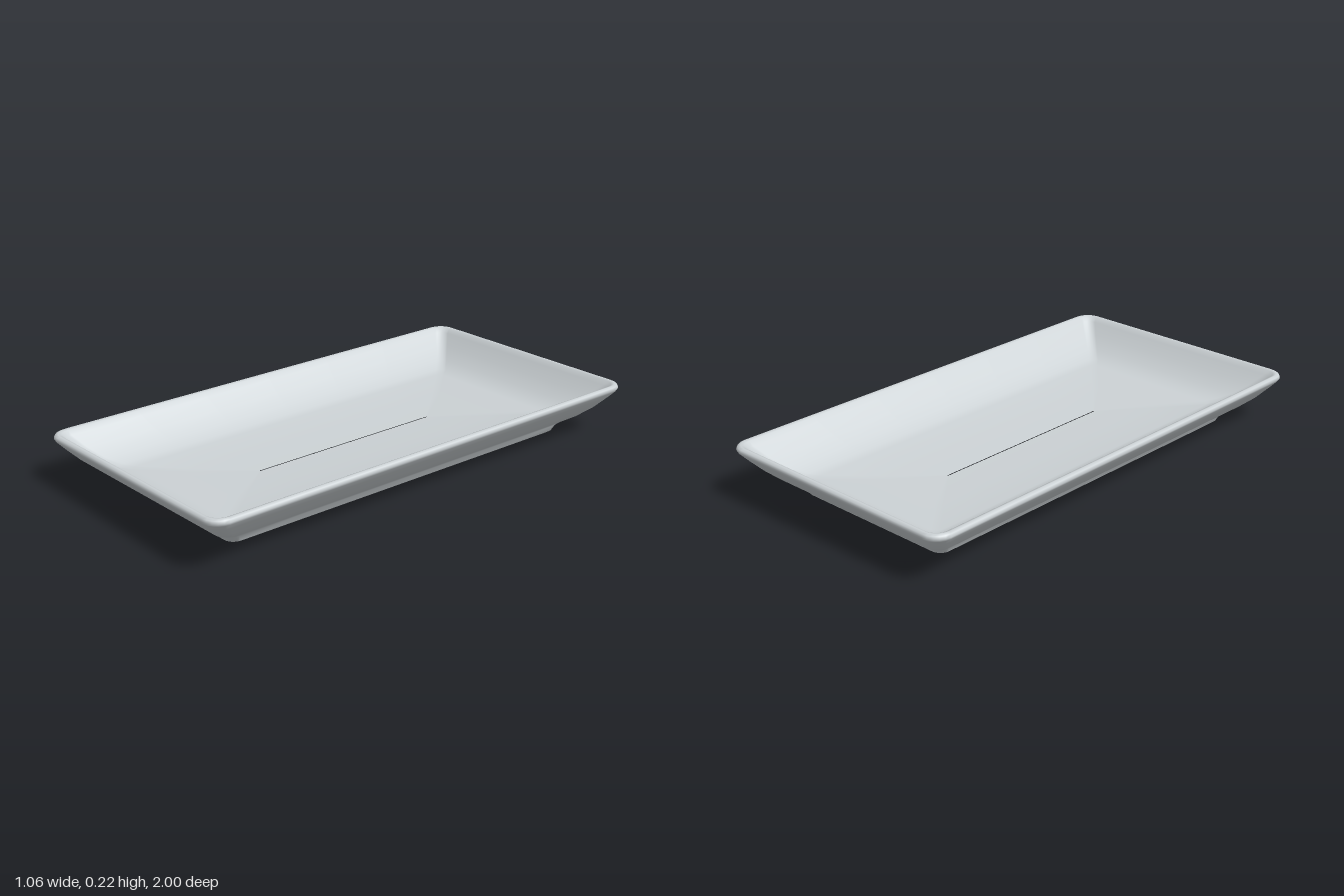
import * as THREE from 'three';

const CORNER_STEPS = 5, SIDE_STEPS = 6, TILT = 0.0165;

// outline of a rounded rectangle, as [x, z] points
function outline(hx, hz, r) {
  const pts = [];
  const corners = [[1, 1], [-1, 1], [-1, -1], [1, -1]];
  corners.forEach(([sx, sz], q) => {
    for (let i = 0; i <= CORNER_STEPS; i++) {
      const a = (q + i / CORNER_STEPS) * Math.PI / 2;
      pts.push([sx * (hx - r) + r * Math.cos(a), sz * (hz - r) + r * Math.sin(a)]);
    }
    // straight side up to the next corner
    const [nx, nz] = corners[(q + 1) % 4];
    const a = (q + 1) * Math.PI / 2;
    const from = pts[pts.length - 1];
    const to = [nx * (hx - r) + r * Math.cos(a), nz * (hz - r) + r * Math.sin(a)];
    for (let i = 1; i < SIDE_STEPS; i++) {
      const t = i / SIDE_STEPS;
      pts.push([from[0] + (to[0] - from[0]) * t, from[1] + (to[1] - from[1]) * t]);
    }
  });
  return pts;
}

// skin a stack of outlines; the first and last shrink to a ridge line
function loft(sections) {
  const pos = [], index = [];
  let n = 0;
  for (const [hx, hz, y, r] of sections) {
    const ring = outline(hx, hz, r);
    n = ring.length;
    for (const [x, z] of ring) pos.push(x, y + TILT * x, z);
  }
  for (let s = 0; s < sections.length - 1; s++) {
    for (let i = 0; i < n; i++) {
      const a = s * n + i, b = s * n + (i + 1) % n;
      index.push(a, a + n, b, b, a + n, b + n);
    }
  }
  const g = new THREE.BufferGeometry();
  g.setAttribute('position', new THREE.Float32BufferAttribute(pos, 3));
  g.setIndex(index);
  g.computeVertexNormals();
  return g;
}

export function createModel() {
  const group = new THREE.Group();
  group.name = 'servingDish';
  const ceramic = new THREE.MeshStandardMaterial({ color: 0xccd2d5 });
  ceramic.name = 'pale grey ceramic';

  // [half width, half length, height, corner radius], from the underside around to the floor
  const sections = [
    // recessed underside
    [0.002, 0.42, 0.040, 0.001],
    [0.06, 0.48, 0.040, 0.01],
    [0.20, 0.64, 0.038, 0.02],
    [0.24, 0.68, 0.034, 0.02],
    [0.305, 0.755, 0.016, 0.03],
    // foot
    [0.325, 0.775, 0.009, 0.035],
    [0.342, 0.798, 0.009, 0.04],
    [0.35, 0.806, 0.015, 0.04],
    [0.36, 0.818, 0.038, 0.04],
    [0.375, 0.835, 0.052, 0.04],
    // flared outer wall
    [0.42, 0.885, 0.080, 0.045],
    [0.465, 0.93, 0.118, 0.05],
    [0.505, 0.972, 0.162, 0.06],
    [0.526, 0.994, 0.187, 0.065],
    // rolled rim
    [0.532, 1.0, 0.198, 0.068],
    [0.528, 0.996, 0.208, 0.066],
    [0.518, 0.986, 0.213, 0.06],
    [0.506, 0.974, 0.209, 0.05],
    // inner wall
    [0.49, 0.96, 0.193, 0.04],
    [0.445, 0.92, 0.150, 0.035],
    [0.39, 0.87, 0.110, 0.03],
    [0.345, 0.825, 0.088, 0.03],
    [0.31, 0.785, 0.080, 0.025],
    // shallow floor
    [0.16, 0.62, 0.070, 0.02],
    [0.002, 0.42, 0.064, 0.001],
  ];
  const dish = new THREE.Mesh(loft(sections), ceramic);
  dish.name = 'dish';
  group.add(dish);
  return group;
}
